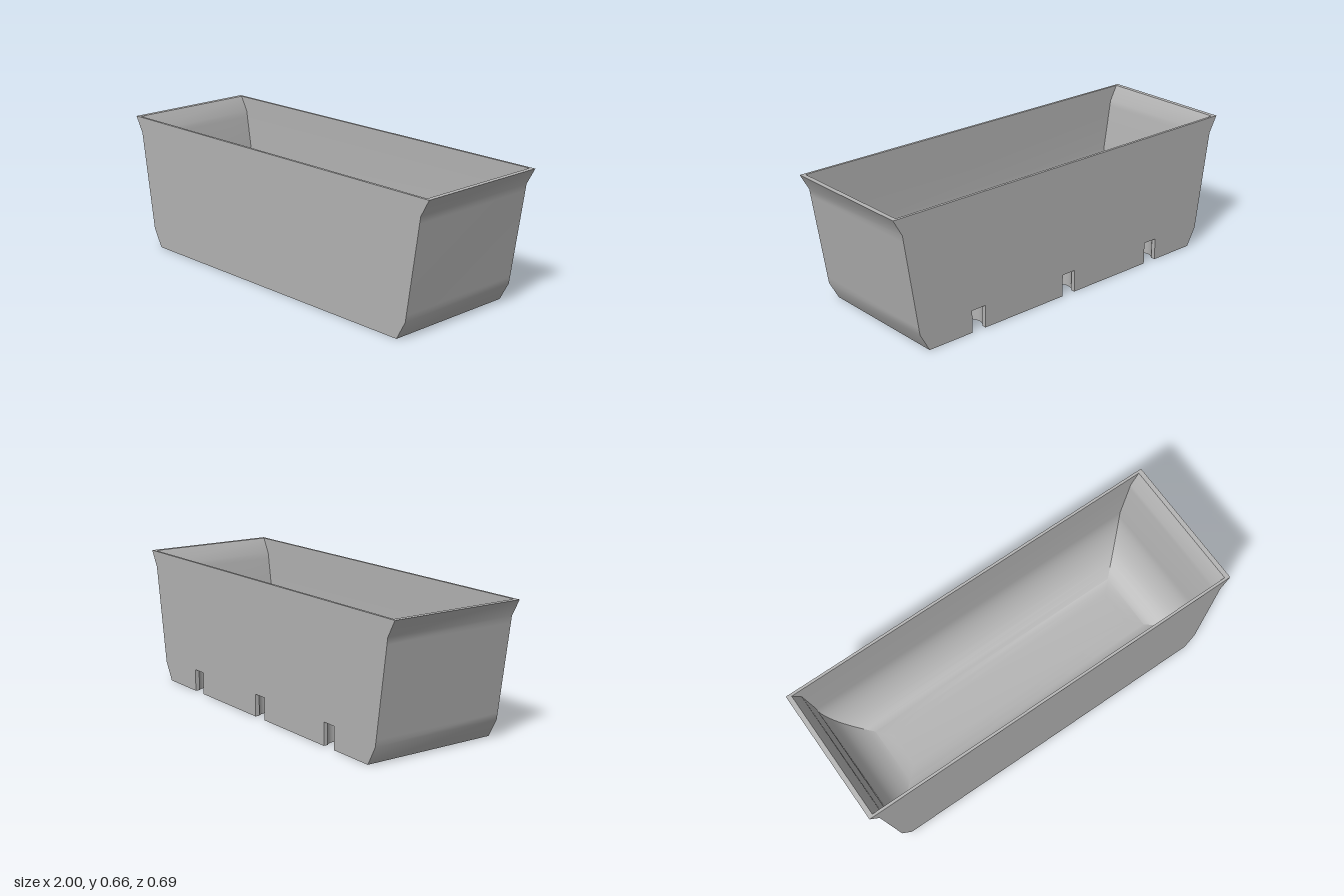
import * as THREE from 'three';
import { toCreasedNormals } from 'three/addons/utils/BufferGeometryUtils.js';

const D = 0.345, H = 0.66;                    // half depth, height
const NOTCH_X = [-0.55, 0, 0.55], NOTCH_H = 0.11, SLOT = 0.038;
const HOLE_R = 0.058, HOLE_Z = -0.28;

// half outline of the front, bottom to top
const profile = [[0.83, 0], [0.88, 0.09], [0.885, 0.123], [0.95, 0.547], [0.955, 0.58], [1, H]];

function quadGeometry(quads, crease = 0.45) {
  const pos = [];
  for (const [a, b, c, d] of quads) pos.push(...a, ...b, ...c, ...a, ...c, ...d);
  const g = new THREE.BufferGeometry();
  g.setAttribute('position', new THREE.Float32BufferAttribute(pos, 3));
  g.computeVertexNormals();
  return toCreasedNormals(g, crease);
}

const toShape = (pts) => new THREE.Shape(pts.map(([x, y]) => new THREE.Vector2(x, y)));

// keyhole outline in x and z, open at the back edge
function keyhole(cx) {
  const pts = [[cx - SLOT, -D]];
  const open = Math.asin(SLOT / HOLE_R), n = 24;
  for (let i = 0; i <= n; i++) {
    const t = open + (i / n) * 2 * (Math.PI - open);
    pts.push([cx - HOLE_R * Math.sin(t), HOLE_Z - HOLE_R * Math.cos(t)]);
  }
  pts.push([cx + SLOT, -D]);
  return pts;
}

export function createModel() {
  const group = new THREE.Group();
  const grey = new THREE.MeshStandardMaterial({ color: 0xb4b4b4 });
  grey.name = 'grey plastic';
  const add = (name, geometry) => {
    const mesh = new THREE.Mesh(geometry, grey);
    mesh.name = name;
    group.add(mesh);
    return mesh;
  };

  // front and back faces; the back has drain notches along its foot
  const leftSide = profile.map(([x, y]) => [-x, y]).reverse();
  const foot = NOTCH_X.flatMap((x) => [
    [x - SLOT, 0], [x - SLOT, NOTCH_H], [x + SLOT, NOTCH_H], [x + SLOT, 0]]);
  add('frontFace', new THREE.ShapeGeometry(toShape([...leftSide, ...profile])).translate(0, 0, D));
  add('backFace', new THREE.ShapeGeometry(toShape([...leftSide, ...foot, ...profile]))
    .rotateY(Math.PI).translate(0, 0, -D));

  // flared ends
  for (const s of [1, -1]) {
    const quads = profile.slice(1).map(([x1, y1], i) => {
      const [x0, y0] = profile[i];
      return [[s * x0, y0, s * D], [s * x0, y0, -s * D], [s * x1, y1, -s * D], [s * x1, y1, s * D]];
    });
    add(s > 0 ? 'leftEnd' : 'rightEnd', quadGeometry(quads));
  }

  // underside with keyhole drains
  const holes = NOTCH_X.map(keyhole);
  add('underside', new THREE.ShapeGeometry(
    toShape([[-0.83, -D], ...holes.flat(), [0.83, -D], [0.83, D], [-0.83, D]])).rotateX(Math.PI / 2));
  for (const pts of holes) {
    const walls = pts.slice(1).map(([x1, z1], i) => {
      const [x0, z0] = pts[i];
      return [[x0, 0, z0], [x0, NOTCH_H, z0], [x1, NOTCH_H, z1], [x1, 0, z1]];
    });
    add('drainWall', quadGeometry(walls));
    add('drainCeiling', new THREE.ShapeGeometry(toShape(pts)).rotateX(Math.PI / 2).translate(0, NOTCH_H, 0));
  }

  // rim and hollow as rectangular rings: half width, half depth, height
  const ring = ([x, z, y]) => [[x, y, z], [x, y, -z], [-x, y, -z], [-x, y, z]];
  const loft = (rings) => rings.slice(1).flatMap((r, i) => {
    const o = ring(rings[i]), n = ring(r);
    return o.map((_, k) => [o[k], o[(k + 1) % 4], n[(k + 1) % 4], n[k]]);
  });
  add('rim', quadGeometry(loft([[1, D, H], [0.977, 0.332, H]])));

  const hollow = [[0.977, 0.332, H], [0.937, 0.332, 0.585], [0.932, 0.332, 0.555]];
  for (let i = 0; i <= 12; i++) {              // rounded cove down to the floor
    const t = (i / 12) * Math.PI / 2;
    hollow.push([0.64 + 0.256 * Math.cos(t), 0.09 + 0.242 * Math.cos(t), 0.33 - 0.25 * Math.sin(t)]);
  }
  add('hollow', quadGeometry([...loft(hollow), ring(hollow[hollow.length - 1])]));

  return group;
}
